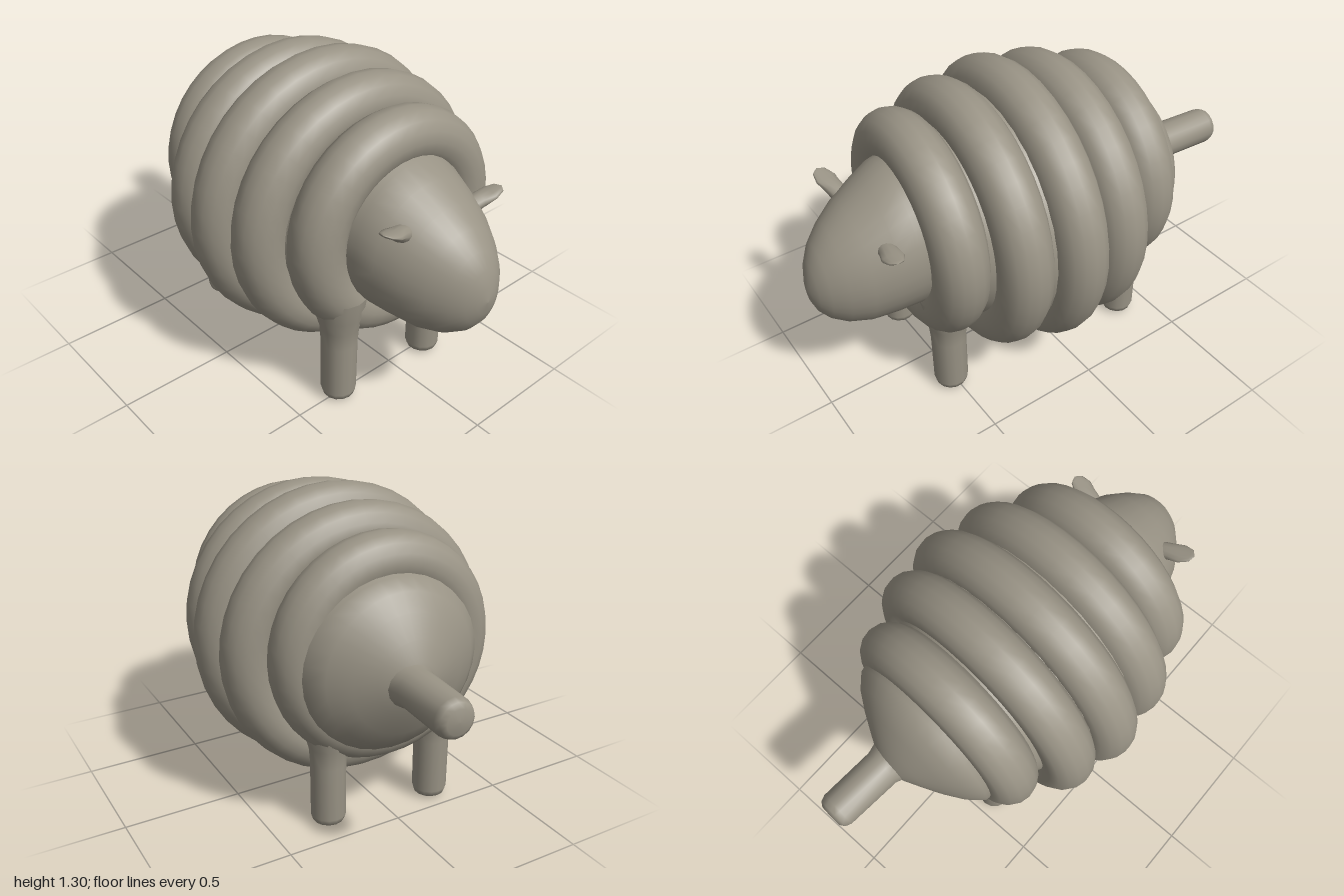
import * as THREE from 'three';

const wool = new THREE.MeshStandardMaterial({ color: 0x999385 });
wool.name = 'warm grey';

// Smooth skin through elliptical sections [z, centreX, centreY, radiusX, radiusY], z ascending
function loft(sections, sides = 32) {
  const pos = [], index = [];
  sections.forEach(([z, cx, cy, rx, ry], i) => {
    for (let j = 0; j < sides; j++) {
      const a = (j / sides) * Math.PI * 2;
      pos.push(cx + rx * Math.cos(a), cy + ry * Math.sin(a), z);
      if (i === sections.length - 1) continue;
      const k = (j + 1) % sides;
      const p = i * sides + j, q = i * sides + k;
      index.push(p, q, p + sides, q, q + sides, p + sides);
    }
  });
  const g = new THREE.BufferGeometry();
  g.setAttribute('position', new THREE.Float32BufferAttribute(pos, 3));
  g.setIndex(index);
  g.computeVertexNormals();
  return g;
}

function add(parent, name, geometry) {
  const m = new THREE.Mesh(geometry, wool);
  m.name = name;
  parent.add(m);
  return m;
}

export function createModel() {
  const model = new THREE.Group();
  model.name = 'sheep';

  // Everything along the spine is turned slightly off the z axis
  const spine = new THREE.Group();
  spine.name = 'spine';
  spine.rotation.y = -0.062;
  model.add(spine);

  // Five woolly rolls: [z, centreY, outer radius]
  const tube = 0.112;
  const rolls = [
    [0.5, 0.745, 0.475], [0.28, 0.7, 0.58], [0.055, 0.688, 0.622],
    [-0.16, 0.69, 0.588], [-0.38, 0.742, 0.474],
  ];
  rolls.forEach(([z, y, r], i) => {
    const roll = add(spine, 'woolRoll' + (i + 1), new THREE.TorusGeometry(r - tube, tube, 16, 40));
    roll.position.set(0, y, z);
  });

  // Core that fills the grooves between the rolls
  add(spine, 'bodyCore', loft([
    [-0.45, 0, 0.74, 0.36, 0.36], [-0.27, 0, 0.72, 0.42, 0.42], [-0.05, 0, 0.69, 0.52, 0.52],
    [0.17, 0, 0.69, 0.52, 0.52], [0.39, 0, 0.72, 0.42, 0.42], [0.55, 0, 0.745, 0.37, 0.37],
  ]));

  // Domed rump
  add(spine, 'rump', loft([
    [-0.708, 0.015, 0.72, 0, 0], [-0.695, 0.015, 0.72, 0.08, 0.08], [-0.66, 0.015, 0.72, 0.15, 0.155],
    [-0.615, 0.015, 0.72, 0.235, 0.245], [-0.565, 0.015, 0.72, 0.315, 0.312],
    [-0.51, 0.015, 0.715, 0.37, 0.355], [-0.42, 0.015, 0.72, 0.385, 0.37],
  ]));

  // Blunt tail
  add(spine, 'tail', loft([
    [-1.0, 0.04, 0.71, 0, 0], [-0.998, 0.04, 0.71, 0.05, 0.05], [-0.985, 0.04, 0.71, 0.07, 0.07],
    [-0.96, 0.04, 0.71, 0.08, 0.08], [-0.72, 0.038, 0.71, 0.083, 0.08],
    [-0.67, 0.035, 0.71, 0.1, 0.095], [-0.62, 0.03, 0.71, 0.12, 0.11],
  ], 16));

  // Egg-shaped head, sloping down to the muzzle
  add(spine, 'head', loft([
    [0.48, 0, 0.755, 0.3, 0.335], [0.62, 0, 0.735, 0.287, 0.315], [0.7, 0.005, 0.712, 0.268, 0.292],
    [0.8, 0.01, 0.682, 0.232, 0.262], [0.88, 0.015, 0.662, 0.183, 0.222],
    [0.94, 0.02, 0.65, 0.132, 0.17], [0.975, 0.025, 0.642, 0.085, 0.115],
    [0.993, 0.03, 0.636, 0.042, 0.058], [1.0, 0.03, 0.633, 0, 0],
  ]));

  // Leaf-like ears that thin out toward the tip
  const ears = [
    ['leftEar', [0.14, 0.84, 0.73], [0.297, 0.888, 0.76]],
    ['rightEar', [-0.19, 0.865, 0.73], [-0.342, 0.935, 0.765]],
  ];
  for (const [name, from, to] of ears) {
    const a = new THREE.Vector3(...from), b = new THREE.Vector3(...to);
    const dir = b.clone().sub(a);
    const g = loft([
      [0, 0, 0, 0.035, 0.035], [0.35, 0, 0, 0.038, 0.03], [0.65, 0, 0, 0.045, 0.015],
      [0.9, 0, 0, 0.03, 0.008], [1, 0, 0, 0, 0],
    ], 12);
    g.scale(1, 1, dir.length());
    g.computeVertexNormals();
    const ear = add(model, name, g);
    ear.position.copy(a);
    ear.lookAt(b);
  }

  // Legs with rounded feet, flaring where they join the belly
  const legProfile = [
    [0, 0.005], [0.045, 0.007], [0.065, 0.02], [0.073, 0.045],
    [0.074, 0.28], [0.08, 0.36], [0.1, 0.43], [0.11, 0.52],
  ].map(([r, y]) => new THREE.Vector2(r, y));
  const legs = [
    ['frontLeftLeg', 0.187, 0.515], ['frontRightLeg', -0.291, 0.498],
    ['backLeftLeg', 0.256, -0.365], ['backRightLeg', -0.228, -0.395],
  ];
  for (const [name, x, z] of legs) {
    add(model, name, new THREE.LatheGeometry(legProfile, 14)).position.set(x, 0, z);
  }

  return model;
}
